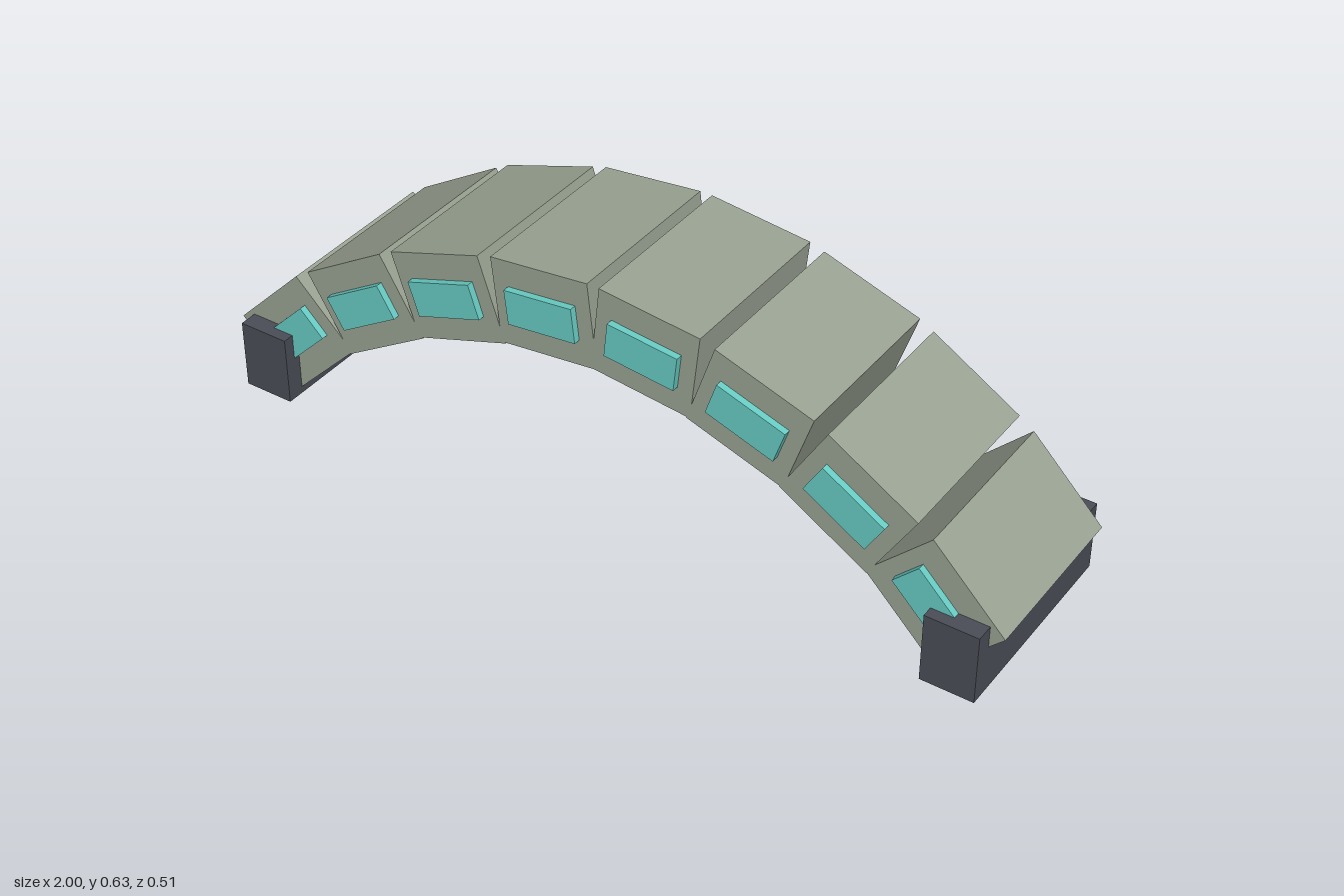
import * as THREE from 'three';

export function createModel() {
  const group = new THREE.Group();
  const mat = (name, color) => {
    const m = new THREE.MeshStandardMaterial({ color });
    m.name = name;
    return m;
  };
  const stone = mat('grey green stone', 0x9aa393);
  const teal = mat('teal panel', 0x68cdc5);
  const slate = mat('dark slate', 0x4b4e58);

  const addBox = (name, parent, material, size, pos) => {
    const mesh = new THREE.Mesh(new THREE.BoxGeometry(...size), material);
    mesh.name = name;
    mesh.position.set(...pos);
    parent.add(mesh);
  };

  // Arch blocks from crown to foot: centre x, centre y, downward tilt in degrees
  const blocks = [
    [0.1285, 0.507, 6.2],
    [0.386, 0.447, 18.5],
    [0.625, 0.3325, 31.2],
    [0.8365, 0.169, 45.3],
  ];

  for (const side of [1, -1]) {
    for (const [x, y, tilt] of blocks) {
      const segment = new THREE.Group();
      segment.name = 'archSegment';
      segment.position.set(side * x, y, 0);
      segment.rotation.z = -side * THREE.MathUtils.degToRad(tilt);
      addBox('archBlock', segment, stone, [0.2515, 0.213, 0.427], [0, 0, 0]);
      // Raised panel on the front face only
      addBox('frontPanel', segment, teal, [0.175, 0.085, 0.03], [0, 0, 0.215]);
      group.add(segment);
    }
    // Footing under each end
    addBox('footing', group, slate, [0.128, 0.173, 0.515], [side * 0.901, 0.0865, 0]);
  }
  return group;
}
